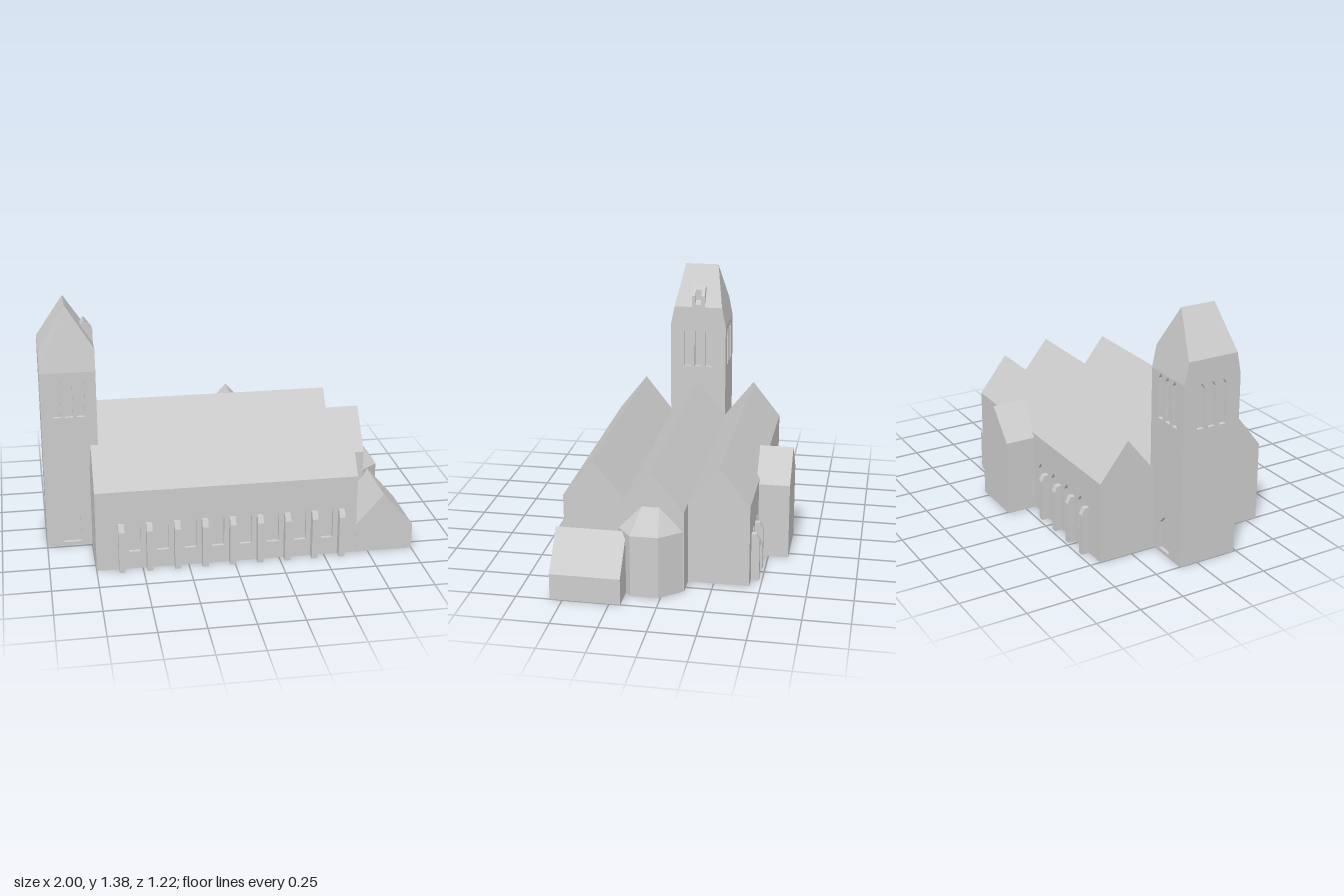
import * as THREE from 'three';
import { ConvexGeometry } from 'three/addons/geometries/ConvexGeometry.js';

const stone = new THREE.MeshStandardMaterial({ color: 0xcccccc });
stone.name = 'pale stone';
const RECESS = 0.02;

export function createModel() {
  const root = new THREE.Group();
  root.name = 'church';

  const add = (name, geometry) => {
    const mesh = new THREE.Mesh(geometry, stone);
    mesh.name = name;
    root.add(mesh);
    return mesh;
  };
  const outline = pts => new THREE.Shape(pts.map(p => new THREE.Vector2(...p)));
  const extrude = (shape, depth) =>
    new THREE.ExtrudeGeometry(shape, { depth, bevelEnabled: false });

  // Profile of [z, y] points, swept along x
  const alongX = (name, pts, x0, x1) =>
    add(name, extrude(outline(pts.map(([z, y]) => [-z, y])), x1 - x0)
      .rotateY(Math.PI / 2).translate(x0, 0, 0));
  // Profile of [x, y] points, swept along z
  const alongZ = (name, pts, z0, z1) =>
    add(name, extrude(outline(pts), z1 - z0).translate(0, 0, z0));
  const hull = (name, pts) =>
    add(name, new ConvexGeometry(pts.map(p => new THREE.Vector3(...p))));

  // Wall with pointed openings; its outer face lies at local z = 0
  const wall = (name, x0, x1, height, openings) => {
    const shape = outline([[x0, 0], [x1, 0], [x1, height], [x0, height]]);
    for (const { x, w, y0, y1, top } of openings) {
      const h = w / 2;
      shape.holes.push(new THREE.Path([[x - h, y0], [x - h, y1], [x, top], [x + h, y1], [x + h, y0]]
        .map(p => new THREE.Vector2(...p))));
    }
    return add(name, extrude(shape, RECESS).translate(0, 0, -RECESS));
  };

  // Three parallel naves
  const r = RECESS;
  alongX('frontNave', [[0.235, 0], [0.565 - r, 0], [0.565 - r, 0.455], [0.565, 0.455],
    [0.40, 0.665], [0.235, 0.455]], -0.75, 0.68);
  alongX('middleNave', [[-0.11, 0], [0.235, 0], [0.235, 0.455], [0.065, 0.67], [-0.11, 0.455]],
    -0.72, 0.80);
  alongX('backNave', [[-0.44 + r, 0], [-0.11, 0], [-0.11, 0.455], [-0.275, 0.665],
    [-0.44, 0.455], [-0.44 + r, 0.455]], -0.75, 0.68);

  // Outer nave walls with windows; the back ones skip the porch
  const bay = i => -0.615 + i * 0.1508;
  const naveWindow = x => ({ x, w: 0.064, y0: 0.10, y1: 0.262, top: 0.303 });
  const bays = [0, 1, 2, 3, 4, 5, 6, 7].map(i => bay(i + 0.5));
  wall('frontNaveWall', -0.75, 0.68, 0.455, bays.map(naveWindow)).position.z = 0.565;
  const back = wall('backNaveWall', -0.68, 0.75, 0.455,
    bays.filter(x => x < -0.05 || x > 0.32).map(x => naveWindow(-x)));
  back.rotation.y = Math.PI;
  back.position.z = -0.44;

  // Buttresses with sloped caps
  for (const [side, z, list] of [['front', 0.555, [0, 1, 2, 3, 4, 5, 6, 7, 8]],
    ['back', -0.43, [0, 1, 2, 3, 7, 8]]]) {
    const s = Math.sign(z);
    for (const i of list) {
      alongX(side + 'Buttress', [[z, 0], [z + s * 0.054, 0], [z + s * 0.054, 0.235],
        [z + s * 0.036, 0.27], [z, 0.27]], bay(i) - 0.016, bay(i) + 0.016);
    }
  }

  // Gabled porch at the back
  alongZ('backPorch', [[-0.01, 0], [0.30, 0], [0.30, 0.43], [0.145, 0.60], [-0.01, 0.43]],
    -0.61, -0.425);

  // Low gabled annex at the front right corner
  alongZ('annex', [[0.68, 0], [1, 0], [1, 0.145], [0.83, 0.34], [0.68, 0.165]], 0.19, 0.567);

  // Faceted apse
  const apse = [[0.79, -0.105], [0.80, -0.105], [0.895, 0.01], [0.895, 0.16], [0.80, 0.237], [0.79, 0.237]];
  hull('apse', [
    ...apse.flatMap(([x, z]) => [[x, 0, z], [x, 0.345, z]]),
    ...[0.02, 0.11].flatMap(z => [[0.80, 0.475, z], [0.79, 0.475, z]])]);

  // Tower: core, four pierced walls and a steep hipped roof
  const X = -0.85, Z = 0.065, hx = 0.15, hz = 0.17, H = 1.02;
  add('towerCore', new THREE.BoxGeometry(2 * (hx - r), H, 2 * (hz - r)).translate(X, H / 2, Z));
  const lancets = step => [-1, 0, 1].map(i =>
    ({ x: i * step, w: 0.043, y0: 0.765, y1: 0.985, top: 1.014 }));
  const door = { x: -0.007, w: 0.095, y0: 0.02, y1: 0.172, top: 0.222 };
  for (const s of [1, -1]) {
    const face = wall(s > 0 ? 'towerFrontWall' : 'towerBackWall', -hx, hx, H, [...lancets(0.065), door]);
    face.rotation.y = s > 0 ? 0 : Math.PI;
    face.position.set(X, 0, Z + s * hz);
    const side = wall(s > 0 ? 'towerLeftWall' : 'towerRightWall', -hz + r, hz - r, H, lancets(0.067));
    side.rotation.y = s * Math.PI / 2;
    side.position.set(X + s * hx, 0, Z);
  }
  hull('towerRoof', [-1, 1].flatMap(s => [
    [X, 1.375, Z + s * 0.10],
    ...[-1, 1].flatMap(t => [[X + t * hx, H, Z + s * hz], [X + t * hx, 1.14, Z + s * 0.146]])]));

  // Dormer with a slot in its face
  const cheek = [[-0.79, 1.13], [-0.70, 1.13], [-0.70, 1.21], [-0.745, 1.27], [-0.79, 1.21]];
  alongZ('dormerCheek', cheek, 0.025, 0.047);
  alongZ('dormerCheek', cheek, 0.083, 0.105);
  alongZ('dormerBack', [[-0.79, 1.13], [-0.70, 1.13], [-0.70, 1.155], [-0.725, 1.155],
    [-0.725, 1.243], [-0.745, 1.27], [-0.79, 1.21]], 0.047, 0.083);

  return root;
}
